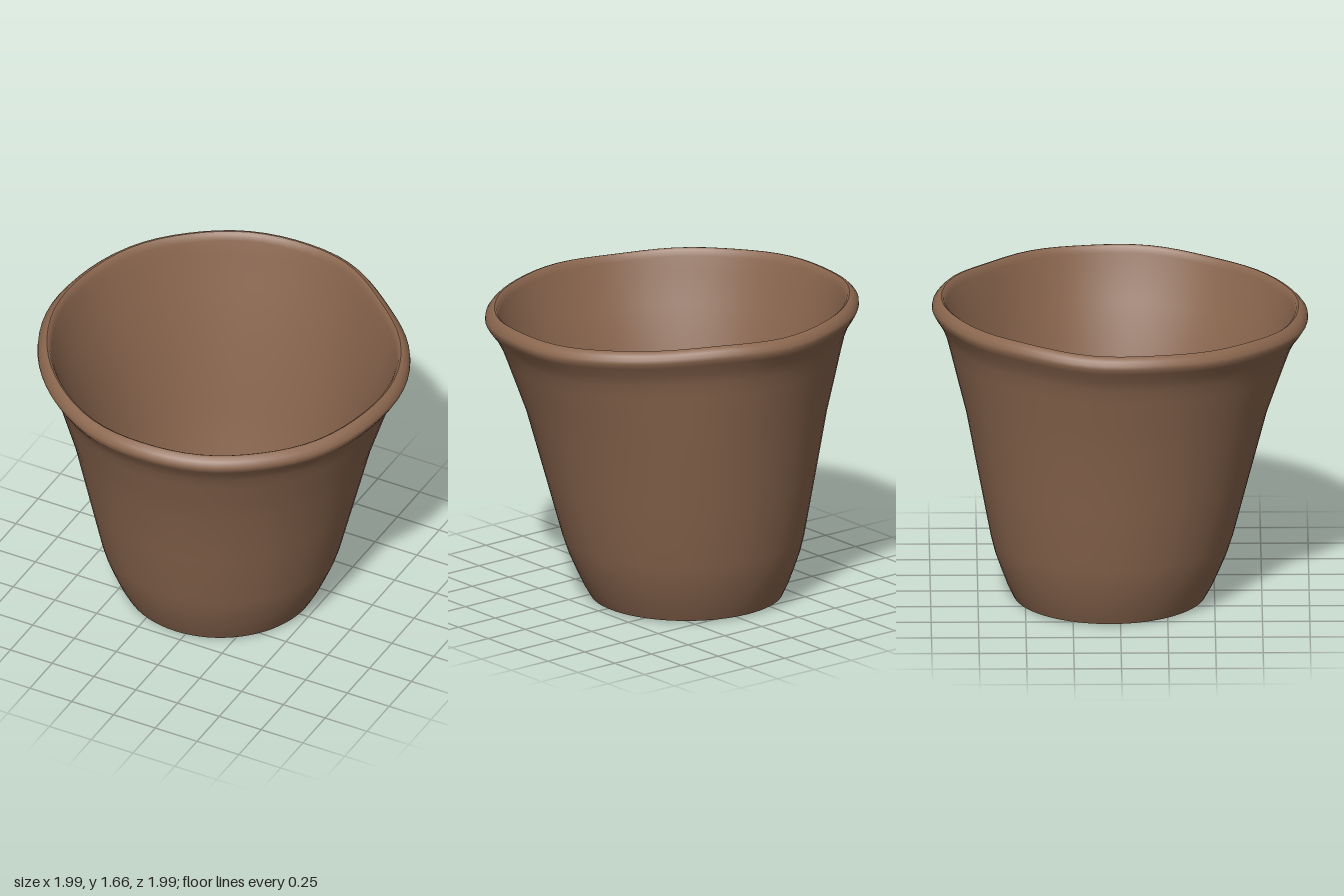
import * as THREE from 'three';
import { mergeVertices, toCreasedNormals } from 'three/addons/utils/BufferGeometryUtils.js';

// Closed section of the wall: [radius, height, centre x, centre z]
const HOLE = [-0.18, 0.025];
const axis = (y) => -0.055 * (1 - Math.min(y / 1.55, 1));
const ring = (r, y) => [r, y, axis(y), axis(y)];
const SECTION = [
  // drain hole and underside
  [0.042, 0.045, ...HOLE], [0.055, 0.025, ...HOLE], [0.1, 0.01, ...HOLE],
  [0.3, 0.008, -0.1, -0.02], ring(0.47, 0.01), ring(0.51, 0.018),
  // outer wall
  ring(0.545, 0.085), ring(0.58, 0.17), ring(0.615, 0.26), ring(0.641, 0.35),
  ring(0.72, 0.7), ring(0.797, 1.04), ring(0.845, 1.2), ring(0.89, 1.35),
  ring(0.915, 1.43), ring(0.943, 1.49), ring(0.978, 1.54),
  // rounded rim
  ring(0.995, 1.57), ring(0.993, 1.59), ring(0.978, 1.61), ring(0.96, 1.627),
  ring(0.945, 1.631), ring(0.932, 1.622), ring(0.92, 1.59),
  // inner wall and floor
  ring(0.9, 1.52), ring(0.84, 1.35), ring(0.735, 1.04), ring(0.655, 0.7),
  ring(0.57, 0.35), ring(0.51, 0.18), ring(0.458, 0.07),
  [0.3, 0.07, -0.1, -0.02], [0.1, 0.066, ...HOLE], [0.058, 0.058, ...HOLE],
  [0.042, 0.045, ...HOLE],
];

// Hand-made unevenness: tilted rim, one flattened side, slight waviness
function shapeByHand(geometry) {
  const p = geometry.attributes.position;
  for (let i = 0; i < p.count; i++) {
    const [r, y, cx, cz] = SECTION[i % SECTION.length];
    const a = Math.atan2(p.getZ(i), p.getX(i));
    const top = THREE.MathUtils.smoothstep(y, 0.9, 1.6);
    const flat = Math.exp(-(((a + 0.93) / 0.38) ** 2));
    const radius = r * (1 - top * (0.045 * flat + 0.004 * (1 - Math.cos(4 * a))));
    const x = cx + radius * Math.cos(a);
    const z = cz + radius * Math.sin(a);
    const wave = 0.004 * Math.sin(5 * a + 1) + 0.003 * Math.sin(9 * a);
    p.setXYZ(i, x, y + top * (-0.02 * x - 0.036 * z + wave), z);
  }
}

export function createModel() {
  const group = new THREE.Group();
  const clay = new THREE.MeshStandardMaterial({ color: 0x8a664e });
  clay.name = 'brown clay';

  const profile = SECTION.map(([r, y]) => new THREE.Vector2(r, y));
  let geometry = new THREE.LatheGeometry(profile, 72);
  shapeByHand(geometry);

  // Weld the seam, keep the foot and floor edges sharp
  geometry.deleteAttribute('uv');
  geometry.deleteAttribute('normal');
  geometry = toCreasedNormals(mergeVertices(geometry, 1e-4), 0.85);

  const pot = new THREE.Mesh(geometry, clay);
  pot.name = 'flowerPot';
  group.add(pot);
  return group;
}
